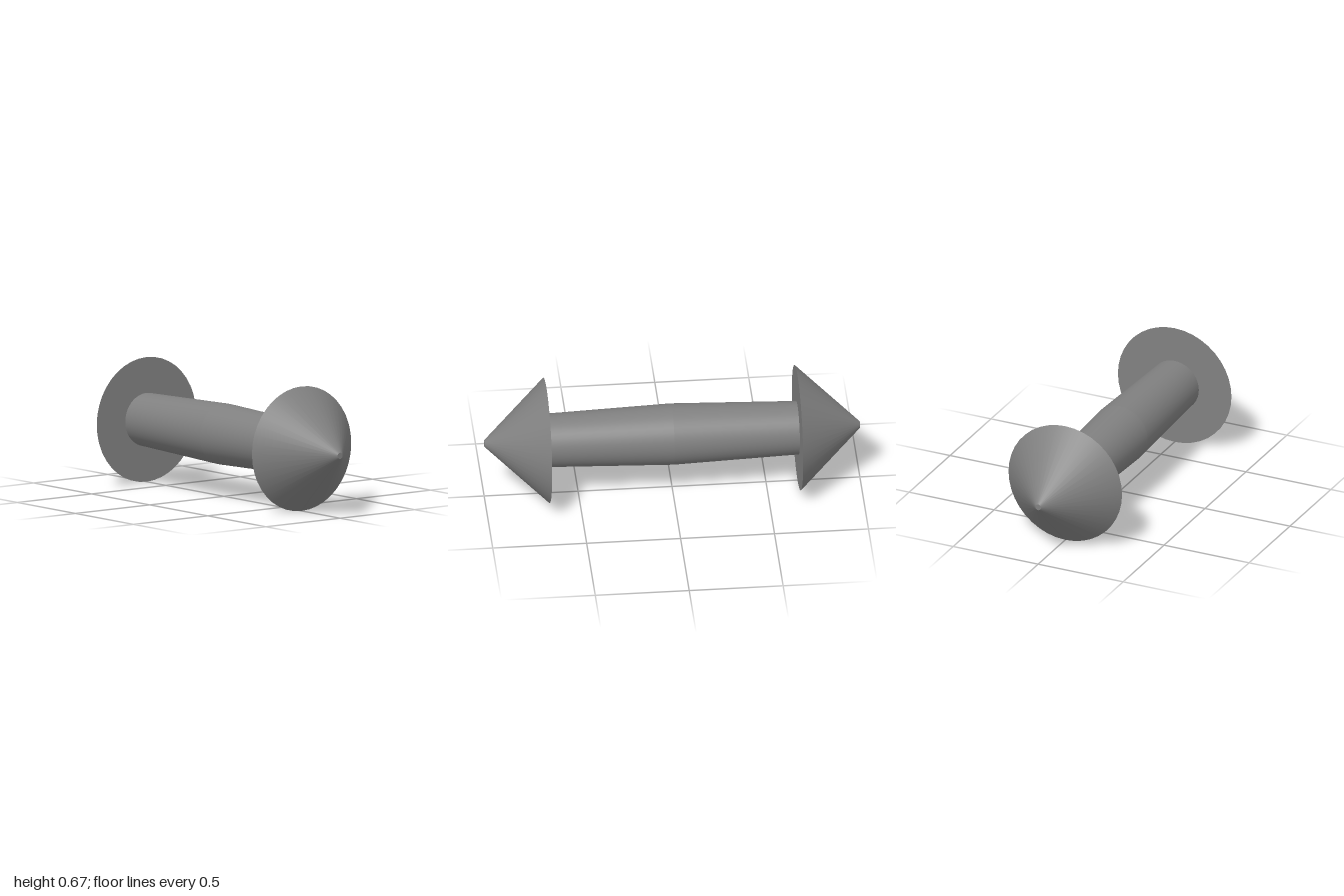
import * as THREE from 'three';

const SIDES = 40;
const AXIS_Y = 0.335;

export function createModel() {
  const model = new THREE.Group();
  model.name = 'doubleEndedSpike';
  const grey = new THREE.MeshStandardMaterial({ color: 0x808080 });
  grey.name = 'grey';

  // Tapered round piece lying along x, from the centre outwards on one side
  function taper(name, side, innerX, outerX, innerR, outerR, open) {
    const geometry = new THREE.CylinderGeometry(outerR, innerR, outerX - innerX, SIDES, 1, open);
    geometry.rotateZ(-side * Math.PI / 2);
    const mesh = new THREE.Mesh(geometry, grey);
    mesh.name = name;
    mesh.position.set(side * (innerX + outerX) / 2, AXIS_Y, 0);
    model.add(mesh);
  }

  for (const side of [1, -1]) {
    const label = side > 0 ? 'left' : 'right';
    // Half of the shaft, thickest at the middle
    taper(label + 'Shaft', side, 0, 0.67, 0.163, 0.142, true);
    // Wide cone with a small blunt tip
    taper(label + 'Cone', side, 0.668, 1, 0.334, 0.017, false);
  }
  return model;
}
